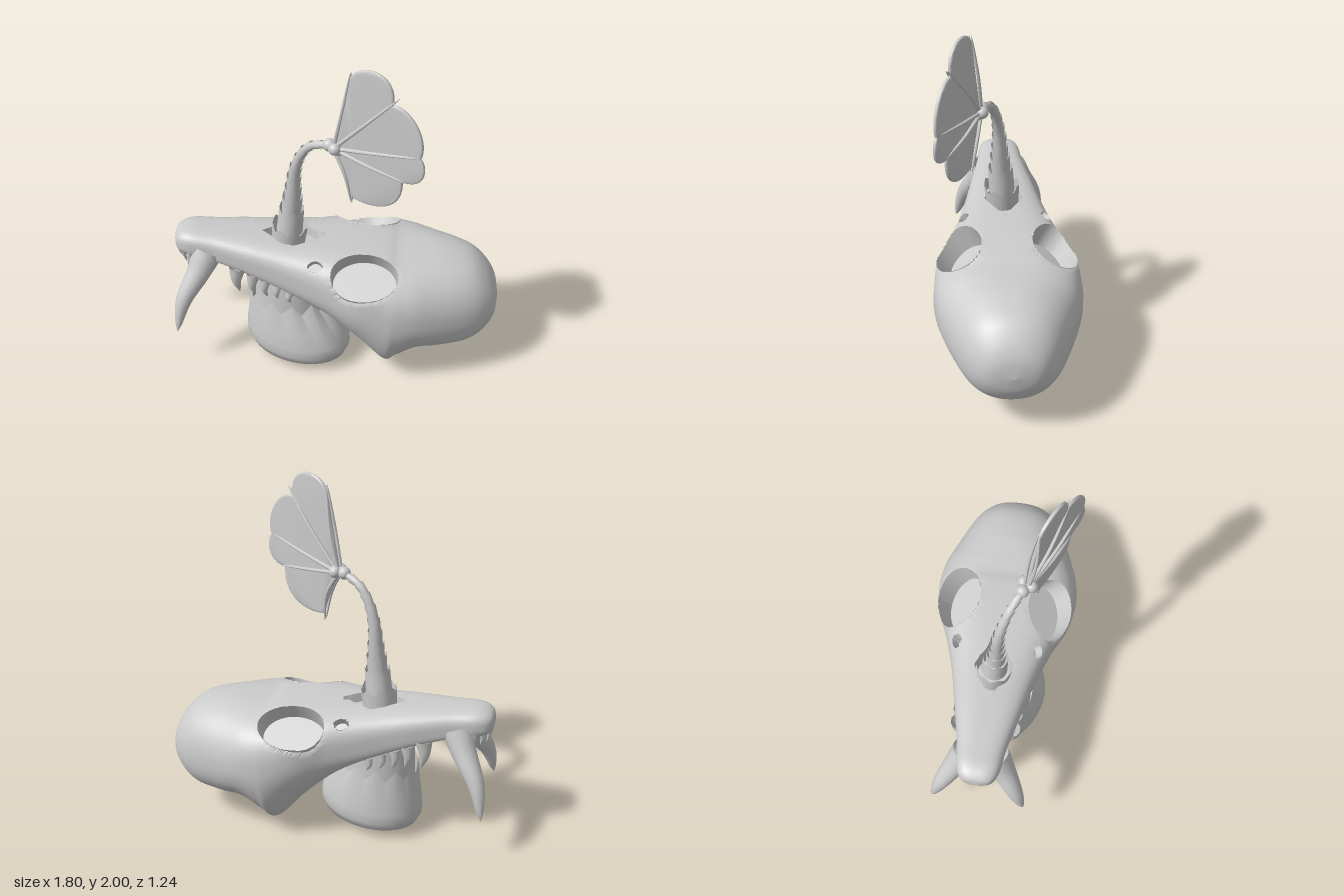
import * as THREE from 'three';
import { toCreasedNormals } from 'three/addons/utils/BufferGeometryUtils.js';
import { ParametricGeometry } from 'three/addons/geometries/ParametricGeometry.js';

const V = (x, y, z) => new THREE.Vector3(x, y, z);
const material = new THREE.MeshStandardMaterial({ color: 0xcccccc, side: THREE.DoubleSide });
const spow = (c, p) => Math.sign(c) * Math.abs(c) ** p;
const { smoothstep, lerp } = THREE.MathUtils;

function add(parent, name, geometry) {
  const mesh = new THREE.Mesh(geometry, material);
  mesh.name = name;
  parent.add(mesh);
  return mesh;
}

const surface = (fn, around, along, crease = 0.7) =>
  toCreasedNormals(new ParametricGeometry(fn, around, along), crease);

// Round sweep along a curve; radius and lengthwise offset are functions of (u, v)
function sweep(curve, radius, around, along, t0 = 0, t1 = 1, offset = () => 0) {
  return surface((u, v, out) => {
    const t = t0 + (t1 - t0) * v, a = u * Math.PI * 2;
    const T = curve.getTangent(t), N = V(0, 0, 1).cross(T);
    if (N.length() < 0.05) N.set(1, 0, 0).cross(T);
    N.normalize();
    const B = T.clone().cross(N), r = radius(u, v);
    out.copy(curve.getPoint(t)).addScaledVector(N, r * Math.cos(a))
      .addScaledVector(B, r * Math.sin(a)).addScaledVector(T, offset(u, v));
  }, around, along);
}

const spike = (pts, r, power = 0.8, around = 10) =>
  sweep(new THREE.CatmullRomCurve3(pts), (u, v) => r * (1 - v) ** power, around, 12);

// Skull sections from snout to back: x, top, bottom, half width, lower roundness
const sections = [
  [-1.08, 0.75, 0.75, 0, 0.7], [-1.06, 0.8, 0.69, 0.08, 0.7], [-0.99, 0.825, 0.67, 0.12, 0.6],
  [-0.85, 0.82, 0.64, 0.14, 0.5], [-0.65, 0.808, 0.58, 0.185, 0.5], [-0.42, 0.79, 0.485, 0.24, 0.55],
  [-0.2, 0.78, 0.355, 0.31, 0.75], [-0.03, 0.77, 0.18, 0.385, 0.95], [0.125, 0.755, 0.0, 0.41, 1],
  [0.2, 0.74, 0.045, 0.41, 1], [0.31, 0.735, 0.13, 0.39, 0.95], [0.45, 0.725, 0.14, 0.34, 0.9],
  [0.6, 0.685, 0.155, 0.275, 0.9], [0.69, 0.615, 0.21, 0.215, 0.95], [0.75, 0.52, 0.3, 0.135, 1],
  [0.772, 0.41, 0.41, 0, 1],
];
const heights = new THREE.CatmullRomCurve3(sections.map(s => V(s[0], s[1], s[2])), false, 'catmullrom');
const widths = new THREE.CatmullRomCurve3(sections.map(s => V(s[0], s[3], s[4])), false, 'catmullrom');

// Hollows: centre, outward normal, half sizes, floor depth, outline power (1 is a diamond), rim band
const pits = [{ c: V(-0.4, 0.79, 0), n: V(0, 1, 0), a: 0.18, b: 0.11, floor: -0.06, p: 1.1, band: 0.12 }];
for (const s of [1, -1]) {
  pits.push({ c: V(0.01, 0.695, 0.265 * s), n: V(0, 0.85, 0.527 * s), a: 0.188, b: 0.142, floor: -0.12, p: 2, band: 0.08 });
  pits.push({ c: V(-0.265, 0.74, 0.235 * s), n: V(0, 0.8, 0.6 * s), a: 0.045, b: 0.035, floor: -0.06, p: 1.5, band: 0.2 });
}

// Gathers points near an outline onto a clean rim and drops those inside to the floor
function carve(point) {
  for (const { c, n, a, b, floor, p, band } of pits) {
    const q = point.clone().sub(c), h = q.dot(n), t = q.z * n.y - q.y * n.z;
    const rho = Math.max(1e-6, (Math.abs(q.x / a) ** p + Math.abs(t / b) ** p) ** (1 / p));
    if (h < floor || rho > 1 + band) continue;
    const inner = 1 - 2.5 * band, inside = rho < 1 - band;
    const k = (inside ? 0.95 * Math.min(1, rho / inner) : 1) / rho;
    point.copy(c).addScaledVector(V(1, 0, 0), q.x * k)
      .addScaledVector(V(0, -n.z, n.y), t * k).addScaledVector(n, inside ? floor : h);
  }
}

function buildSkull() {
  const skull = new THREE.Group();
  skull.name = 'skull';
  add(skull, 'cranium', surface((u, v, out) => {
    const h = heights.getPoint(v), w = widths.getPoint(v), a = u * Math.PI * 2, c = Math.cos(a);
    // square brow, round braincase, and a keel narrowing to the jaw corner
    const p = c > 0 ? 0.68 + 0.2 * smoothstep(h.x, 0.15, 0.45) : w.z;
    const mid = (h.y + h.z) / 2 + 0.1 * Math.exp(-(((h.x - 0.07) / 0.2) ** 2));
    const half = Math.max(0, c > 0 ? h.y - mid : mid - h.z);
    out.set(h.x, mid + half * spow(c, p), Math.max(0, w.y) * spow(Math.sin(a), p));
    // arched palate under the snout
    if (c < 0) out.y += 0.06 * c ** 4 * smoothstep(h.x, -1.0, -0.85) * (1 - smoothstep(h.x, -0.4, -0.15));
    carve(out);
  }, 168, 210));

  // Cheek teeth: x, z, base y, length, radius
  const cheekTeeth = [
    [-0.71, 0.15, 0.65, 0.17, 0.05], [-0.62, 0.16, 0.61, 0.14, 0.04], [-0.55, 0.17, 0.58, 0.115, 0.034],
    [-0.48, 0.185, 0.55, 0.09, 0.03], [-0.41, 0.2, 0.52, 0.07, 0.028],
  ];
  const frontTeeth = [[-1.04, 0.03], [-1.01, 0.075], [-0.97, 0.1]];
  for (const s of [1, -1]) {
    const side = s > 0 ? 'left' : 'right';
    add(skull, side + 'Fang', spike([V(-0.885, 0.7, 0.075 * s), V(-0.93, 0.6, 0.13 * s),
      V(-1.02, 0.44, 0.215 * s), V(-1.06, 0.25, 0.27 * s)], 0.09, 0.62, 16));
    for (const [x, z, y, len, r] of cheekTeeth)
      add(skull, side + 'CheekTooth', spike([V(x, y, z * s), V(x - 0.008, y - len * 0.5, (z + 0.012) * s),
        V(x + 0.01, y - len, (z + 0.01) * s)], r));
    for (const [x, z] of frontTeeth)
      add(skull, side + 'FrontTooth', spike([V(x, 0.73, z * s), V(x - 0.012, 0.68, z * s),
        V(x, 0.62, z * s)], 0.026));
  }
  skull.rotation.y = 0.473;
  skull.position.set(0.153, 0, -0.1);
  return skull;
}

// Sawtooth used for the torn rims
const saw = (u, n) => Math.abs(((u * n) % 1) * 2 - 1);

function buildStump() {
  const stump = new THREE.Group();
  stump.name = 'stump';
  const rows = [ // y, centre x, x radius, z radius
    [0.04, -0.165, 0, 0], [0.04, -0.165, 0.27, 0.195], [0.052, -0.165, 0.3, 0.222], [0.1, -0.167, 0.322, 0.24],
    [0.16, -0.17, 0.318, 0.24], [0.26, -0.187, 0.285, 0.23], [0.37, -0.218, 0.235, 0.205],
  ];
  add(stump, 'outerSkin', surface((u, v, out) => {
    const i = Math.round(v * (rows.length - 1)), [y, cx, rx, rz] = rows[i], a = u * Math.PI * 2;
    const tear = i === rows.length - 1 ? 0.065 * saw(u, 12) : 0;
    out.set(cx + rx * Math.sin(a), y + tear, 0.11 + rz * Math.cos(a));
  }, 96, rows.length - 1, 0.9));
  const core = add(stump, 'core', new THREE.CylinderGeometry(0.19, 0.2, 0.28, 32));
  core.scale.x = 1.08;
  core.position.set(-0.218, 0.43, 0.11);
  return stump;
}

function buildTail() {
  const tail = new THREE.Group();
  tail.name = 'tail';
  const z = 0.1;
  const path = new THREE.CatmullRomCurve3([
    [-0.235, 0.7], [-0.22, 0.83], [-0.205, 0.97], [-0.193, 1.1], [-0.18, 1.23],
    [-0.145, 1.34], [-0.085, 1.425], [-0.01, 1.463], [0.06, 1.475],
  ].map(([x, y]) => V(x, y, z)), false, 'catmullrom');
  const radii = [0.108, 0.087, 0.058, 0.042, 0.032, 0.026, 0.023, 0.021, 0.02];
  const radius = t => {
    const k = Math.min(7, Math.floor(t * 8));
    return lerp(radii[k], radii[k + 1], t * 8 - k);
  };
  // overlapping scaly segments with ragged upper rims
  const stops = [0, 0.14, 0.25, 0.33, 0.4, 0.47, 0.54, 0.62, 0.7, 0.78, 0.87, 1];
  for (let i = 0; i < stops.length - 1; i++) {
    const t0 = Math.max(0, stops[i] - 0.02), t1 = stops[i + 1], r0 = radius(t0), r1 = radius(t1);
    add(tail, 'tailSegment', sweep(path,
      (u, v) => lerp(r0 * 0.84, r1 * 1.2, v), 32, 5, t0, t1,
      (u, v) => (v > 0.99 ? saw(u, 8) * r1 * 0.4 : 0)));
  }
  for (const [x, y, dz, r] of [[0.038, 1.478, 0, 0.036], [0.085, 1.48, 0.025, 0.034], [0.085, 1.48, -0.025, 0.034],
    [0.1, 1.465, 0, 0.03]])
    add(tail, 'fanKnuckle', new THREE.SphereGeometry(r, 20, 14)).position.set(x, y, z + dz);
  return tail;
}

function buildFan() {
  const fan = new THREE.Group();
  fan.name = 'tailFan';
  // scalloped membrane
  const s = new THREE.Shape();
  s.moveTo(0.07, 1.47);
  s.quadraticCurveTo(0.118, 1.68, 0.165, 1.92);
  s.bezierCurveTo(0.2, 2.02, 0.43, 2.04, 0.41, 1.835);
  s.bezierCurveTo(0.51, 1.85, 0.62, 1.69, 0.575, 1.57);
  s.bezierCurveTo(0.62, 1.52, 0.61, 1.39, 0.475, 1.4);
  s.bezierCurveTo(0.49, 1.22, 0.34, 1.16, 0.188, 1.195);
  s.quadraticCurveTo(0.15, 1.33, 0.07, 1.47);
  const web = add(fan, 'membrane', toCreasedNormals(new THREE.ExtrudeGeometry(s, {
    depth: 0.006, bevelEnabled: true, bevelThickness: 0.008, bevelSize: 0.012, bevelOffset: -0.01,
    bevelSegments: 3, curveSegments: 20,
  }), 0.7));
  web.position.z = 0.097;
  // paired ribs on both faces: middle point, then tip
  const ribs = [
    [0.12, 1.69, 0.165, 1.96], [0.25, 1.67, 0.445, 1.885], [0.32, 1.528, 0.59, 1.577],
    [0.29, 1.437, 0.515, 1.395], [0.148, 1.33, 0.18, 1.15],
  ];
  for (const [mx, my, tx, ty] of ribs) for (const d of [1, -1])
    add(fan, 'fanRib', spike([V(0.07, 1.472, 0.1 + 0.012 * d), V(mx, my, 0.1 + 0.022 * d),
      V(tx, ty, 0.1 + 0.004 * d)], 0.0115, 0.3, 8));
  return fan;
}

export function createModel() {
  const model = new THREE.Group();
  model.name = 'skullWithFanTail';
  model.add(buildSkull(), buildStump(), buildTail(), buildFan());
  return model;
}
